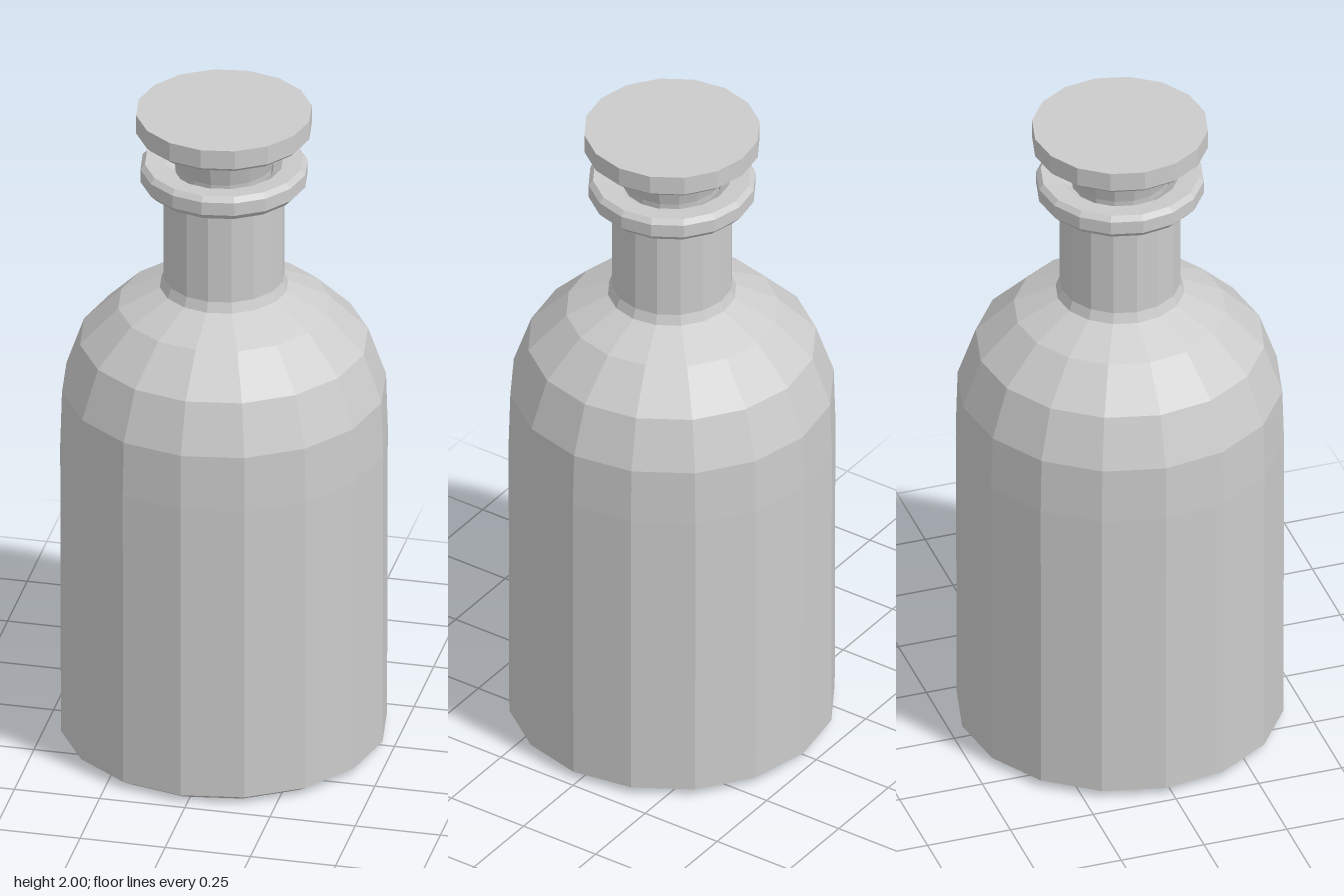
import * as THREE from 'three';

const SIDES = 16;
const TURN = -0.042; // slight twist of the facets about the vertical axis

// Faceted solid of revolution from [radius, height] pairs
function turned(name, profile) {
  const points = profile.map(([r, y]) => new THREE.Vector2(r, y));
  const mesh = new THREE.Mesh(
    new THREE.LatheGeometry(points, SIDES, TURN),
    new THREE.MeshStandardMaterial({ color: 0xcccccc, flatShading: true })
  );
  mesh.name = name;
  return mesh;
}

export function createModel() {
  const model = new THREE.Group();
  model.name = 'stopperedBottle';

  // Hollow bottle: up the outside, over the lip, down the inside
  model.add(turned('bottle', [
    // dished base
    [0, 0.045], [0.2, 0.04], [0.33, 0.02], [0.38, 0.003], [0.435, 0.003],
    // body and shoulder
    [0.47, 0.025], [0.472, 0.95], [0.467, 1.12], [0.415, 1.27], [0.305, 1.38],
    // neck
    [0.185, 1.44], [0.174, 1.47], [0.174, 1.76],
    // lip
    [0.222, 1.765], [0.241, 1.785], [0.241, 1.825], [0.228, 1.84], [0.17, 1.835],
    // inner wall
    [0.143, 1.815], [0.135, 1.46], [0.28, 1.35], [0.385, 1.25], [0.435, 1.1],
    [0.435, 0.08], [0, 0.08],
  ]));

  // Stopper: tapered plug with a flat disc on top
  model.add(turned('stopper', [
    [0, 1.55], [0.115, 1.55], [0.14, 1.83], [0.165, 1.92], [0.165, 1.93],
    [0.24, 1.93], [0.253, 1.942], [0.253, 2], [0, 2],
  ]));

  return model;
}
